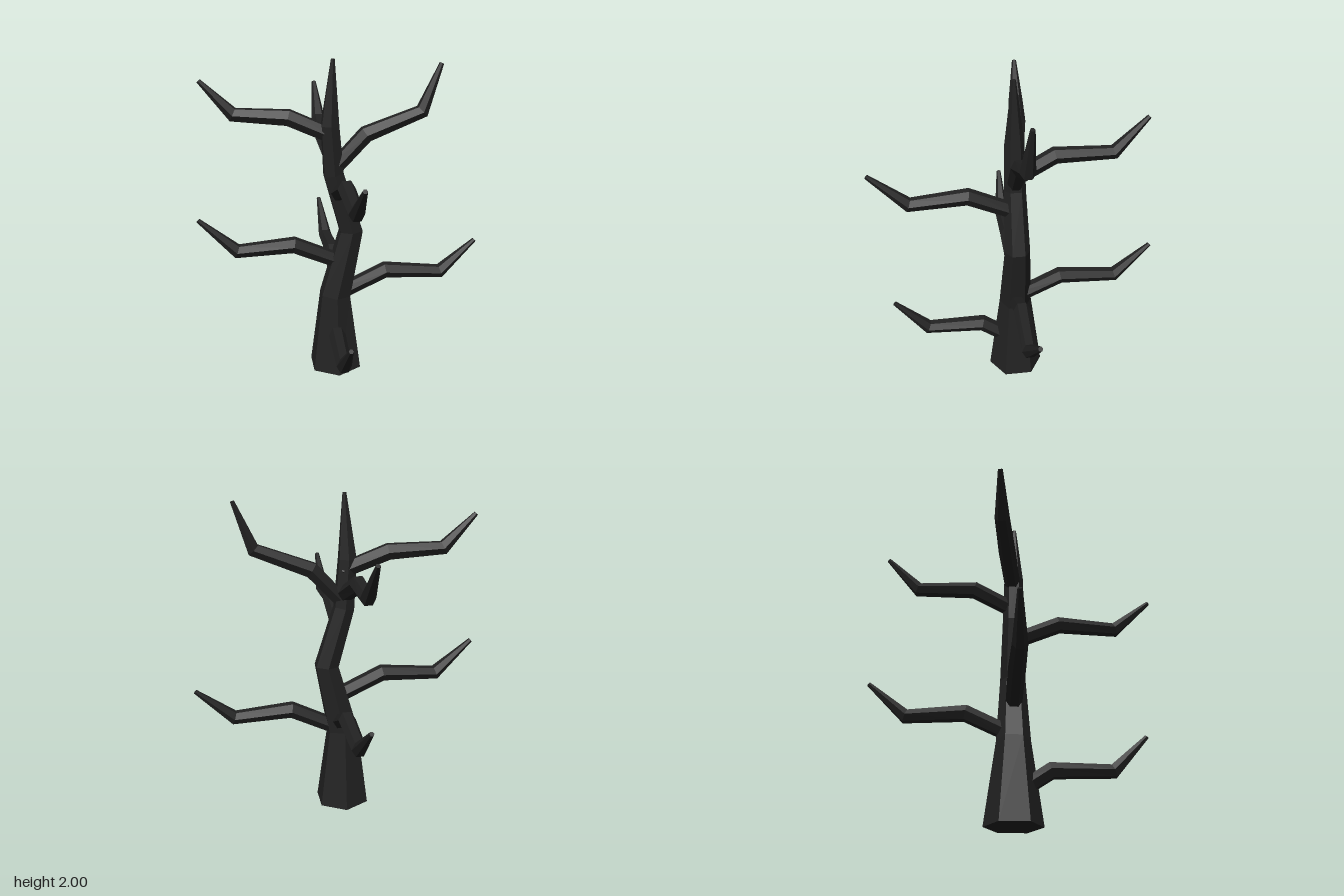
import * as THREE from 'three';

const SIDES = 6;

// Hexagonal limb through stations [x, y, z, radius], with flat end caps.
// "side" points to the first corner of every ring.
function limbGeometry(stations, side) {
  const points = stations.map(s => new THREE.Vector3(s[0], s[1], s[2]));
  const rings = points.map((p, i) => {
    const tangent = new THREE.Vector3();
    if (i > 0) tangent.add(p.clone().sub(points[i - 1]).normalize());
    if (i < points.length - 1) tangent.add(points[i + 1].clone().sub(p).normalize());
    tangent.normalize();
    const u = side.clone().addScaledVector(tangent, -side.dot(tangent)).normalize();
    const v = tangent.clone().cross(u);
    return Array.from({ length: SIDES }, (_, k) => {
      const a = (k / SIDES) * Math.PI * 2;
      return p.clone()
        .addScaledVector(u, Math.cos(a) * stations[i][3])
        .addScaledVector(v, Math.sin(a) * stations[i][3]);
    });
  });

  const positions = [];
  const tri = (a, b, c) => [a, b, c].forEach(p => positions.push(p.x, p.y, p.z));
  const last = rings.length - 1;
  for (let k = 0; k < SIDES; k++) {
    const n = (k + 1) % SIDES;
    for (let i = 0; i < last; i++) {
      tri(rings[i][k], rings[i][n], rings[i + 1][n]);
      tri(rings[i][k], rings[i + 1][n], rings[i + 1][k]);
    }
    tri(points[0], rings[0][n], rings[0][k]);
    tri(points[last], rings[last][k], rings[last][n]);
  }
  const geometry = new THREE.BufferGeometry();
  geometry.setAttribute('position', new THREE.Float32BufferAttribute(positions, 3));
  geometry.computeVertexNormals();
  return geometry;
}

export function createModel() {
  const tree = new THREE.Group();
  tree.name = 'bareTree';
  const bark = new THREE.MeshStandardMaterial({ color: 0x222222, flatShading: true });
  bark.name = 'darkBark';

  const addLimb = (name, stations, side) => {
    const mesh = new THREE.Mesh(limbGeometry(stations, side), bark);
    mesh.name = name;
    tree.add(mesh);
  };

  // Crooked tapering trunk
  addLimb('trunk', [
    [-0.04, 0, 0, 0.175],
    [-0.04, 0.51, 0, 0.104],
    [0.06, 0.94, 0, 0.08],
    [-0.048, 1.31, 0, 0.068],
    [-0.068, 1.61, 0, 0.06],
    [-0.05, 2, 0.005, 0.012],
  ], new THREE.Vector3(0, 0, 1));

  // Branches: root inside the trunk, two elbows, then an upturned tip
  const radii = [0.05, 0.053, 0.045, 0.014];
  const branches = {
    lowerLeftBranch: [[-0.02, 0.51, 0], [0.285, 0.655, 0.005], [0.645, 0.625, 0.015], [0.875, 0.822, -0.005]],
    upperLeftBranch: [[-0.03, 1.36, 0], [0.15, 1.55, 0], [0.49, 1.68, 0.01], [0.6, 1.962, 0.005]],
    lowerRightBranch: [[0.02, 0.72, 0], [-0.3, 0.865, 0.01], [-0.65, 0.845, 0.01], [-0.875, 1.055, 0]],
    upperRightBranch: [[-0.04, 1.54, 0], [-0.31, 1.655, -0.05], [-0.635, 1.675, -0.09], [-0.822, 1.875, -0.107]],
    lowerFrontBranch: [[-0.04, 0.225, 0.06], [-0.06, 0.325, 0.22], [-0.075, 0.32, 0.58], [-0.07, 0.535, 0.787]],
    upperFrontBranch: [[-0.02, 1.18, 0], [-0.015, 1.305, 0.29], [-0.02, 1.275, 0.645], [-0.02, 1.475, 0.875]],
    lowerBackBranch: [[-0.02, 0.55, 0], [-0.015, 0.69, -0.29], [-0.015, 0.665, -0.65], [-0.03, 0.865, -0.88]],
    upperBackBranch: [[-0.05, 1.39, 0], [-0.085, 1.51, -0.25], [-0.06, 1.52, -0.61], [-0.063, 1.735, -0.813]],
  };
  const up = new THREE.Vector3(0, 1, 0);
  for (const [name, path] of Object.entries(branches)) {
    const run = new THREE.Vector3(path[3][0] - path[0][0], 0, path[3][2] - path[0][2]);
    addLimb(name, path.map((p, i) => [...p, radii[i]]), run.cross(up).normalize());
  }
  return tree;
}
